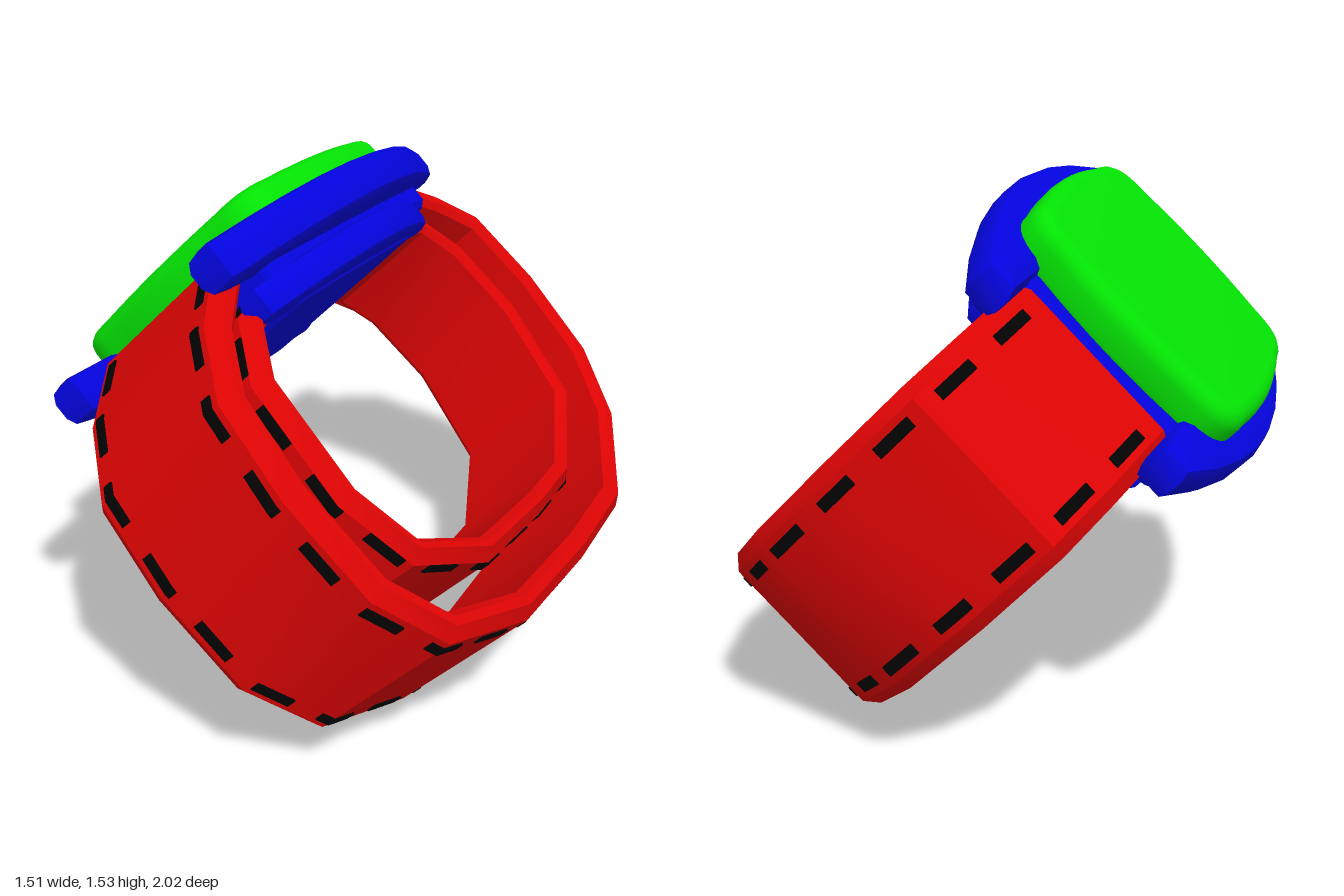
import * as THREE from 'three';
import { mergeGeometries, toCreasedNormals } from 'three/addons/utils/BufferGeometryUtils.js';

const mat = (name, color) => {
  const m = new THREE.MeshStandardMaterial({ color });
  m.name = name;
  return m;
};

// Sweep a bevelled rectangular section along a path of [z, y] points.
// lo and hi are the offsets of its inner and outer faces from the path,
// b and c the bevels of the inner and outer edges.
function sweep(path, xc, h, lo, hi, b, c) {
  const profile = [
    [-h + b, lo], [h - b, lo], [h, lo + b], [h, hi - c * 0.8],
    [h - c, hi], [-h + c, hi], [-h, hi - c * 0.8], [-h, lo + b]];
  const n = profile.length, pos = [], idx = [];
  const normal = (p, q) => {
    const dz = q[0] - p[0], dy = q[1] - p[1], l = Math.hypot(dz, dy);
    return [-dy / l, dz / l];
  };
  const last = path.length - 1;
  path.forEach((p, i) => {
    const n1 = normal(path[Math.max(i - 1, 0)], path[Math.max(i, 1)]);
    const n2 = normal(path[Math.min(i, last - 1)], path[Math.min(i + 1, last)]);
    const mz = n1[0] + n2[0], my = n1[1] + n2[1];
    const s = 2 / (mz * mz + my * my);
    for (const [x, d] of profile) pos.push(xc + x, p[1] + my * s * d, p[0] + mz * s * d);
    if (i < last) {
      for (let k = 0; k < n; k++) {
        const u = i * n + k, v = i * n + (k + 1) % n;
        idx.push(u, v, v + n, u, v + n, u + n);
      }
    }
  });
  const end = last * n;
  for (let k = 1; k < n - 1; k++) idx.push(0, k + 1, k, end, end + k, end + k + 1);
  const g = new THREE.BufferGeometry();
  g.setAttribute('position', new THREE.Float32BufferAttribute(pos, 3));
  g.setIndex(idx);
  return toCreasedNormals(g.toNonIndexed(), 0.6);
}

// Cut a path between two arc lengths, keeping the corners in between
function cut(path, s0, s1) {
  const out = [];
  let s = 0;
  for (let i = 0; i < path.length - 1; i++) {
    const a = path[i], c = path[i + 1];
    const l = Math.hypot(c[0] - a[0], c[1] - a[1]);
    const at = (t) => [a[0] + (c[0] - a[0]) * t, a[1] + (c[1] - a[1]) * t];
    if (s0 >= s && s0 < s + l) out.push(at((s0 - s) / l));
    if (s1 > s && s1 <= s + l) out.push(at((s1 - s) / l));
    else if (s + l > s0 + 0.004 && s + l < s1 - 0.004) out.push(c);
    s += l;
  }
  return out;
}

const pathLength = (path) => path.slice(1).reduce(
  (sum, p, i) => sum + Math.hypot(p[0] - path[i][0], p[1] - path[i][1]), 0);

// Extrude an outline drawn in x and z upwards from y0 to y1, with bevelled edges
function slab(shape, y0, y1, bevel, segments, crease) {
  const g = new THREE.ExtrudeGeometry(shape, {
    depth: y1 - y0 - 2 * bevel, bevelEnabled: true, bevelThickness: bevel,
    bevelSize: bevel, bevelOffset: -bevel, bevelSegments: segments, curveSegments: 8 });
  g.rotateX(-Math.PI / 2).translate(0, y0 + bevel, 0);
  return toCreasedNormals(g, crease);
}

// Rounded rectangle whose four sides bulge outwards
function barrel(w, d, r, bulge) {
  const s = new THREE.Shape();
  const x = w - bulge, z = d - bulge;
  s.moveTo(-x + r, -z);
  s.quadraticCurveTo(0, -z - 2 * bulge, x - r, -z);
  s.quadraticCurveTo(x, -z, x, -z + r);
  s.quadraticCurveTo(x + 2 * bulge, 0, x, z - r);
  s.quadraticCurveTo(x, z, x - r, z);
  s.quadraticCurveTo(0, z + 2 * bulge, -x + r, z);
  s.quadraticCurveTo(-x, z, -x, z - r);
  s.quadraticCurveTo(-x - 2 * bulge, 0, -x, -z + r);
  s.quadraticCurveTo(-x, -z, -x + r, -z);
  return s;
}

// Bowed side rail: straight inside, arched outside, tapering to the lugs
function rail(side, inner, tip, middle, length) {
  const s = new THREE.Shape();
  s.moveTo(side * inner, -length);
  s.lineTo(side * tip, -length);
  for (let i = 1; i <= 8; i++) {
    const t = i / 4 - 1;
    s.lineTo(side * (tip + (middle - tip) * (1 - t * t)), t * length);
  }
  s.lineTo(side * inner, length);
  s.closePath();
  return s;
}

export function createModel() {
  const red = mat('strap red', 0xde0404);
  const blue = mat('case blue', 0x0404de);
  const green = mat('screen green', 0x04e404);
  const black = mat('stitch black', 0x030303);

  const model = new THREE.Group();
  model.name = 'wristwatch';
  // The watch lies tipped on the edge of its strap, turned slightly
  const tilt = new THREE.Group();
  tilt.name = 'tilt';
  tilt.rotation.z = Math.PI / 4;
  const watch = new THREE.Group();
  watch.name = 'watch';
  watch.position.x = 0.54;
  watch.rotation.y = 0.08;
  model.add(tilt);
  tilt.add(watch);

  const add = (name, geometry, material, z = 0) => {
    const mesh = new THREE.Mesh(geometry, material);
    mesh.name = name;
    mesh.position.z = z;
    watch.add(mesh);
  };

  // Screen
  add('screen', slab(barrel(0.44, 0.475, 0.16, 0.025), 1.03, 1.19, 0.05, 4, 1.1), green);

  // Case body and back plate
  add('caseBody', slab(barrel(0.38, 0.54, 0.06, 0.01), 0.9, 1.07, 0.02, 1, 0.5), blue);
  add('backPlate', slab(barrel(0.36, 0.41, 0.06, 0.01), 0.84, 0.93, 0.02, 1, 0.5), blue, 0.05);

  // Upper rails with lugs, and the shorter lower rails
  for (const side of [-1, 1]) {
    const label = side > 0 ? 'left' : 'right';
    add(label + 'UpperRail',
      slab(rail(side, 0.27, 0.37, 0.53, 0.695), 0.97, 1.1, 0.04, 2, 0.5), blue, 0.01);
    add(label + 'LowerRail',
      slab(rail(side, 0.25, 0.325, side > 0 ? 0.46 : 0.335, 0.55), 0.845, 0.945, 0.03, 2, 0.5), blue, 0.045);
  }

  // Two nested strap loops, each running from the front lugs under to the back
  const straps = [
    { name: 'outerStrap', center: 0, half: 0.293, thickness: 0.08, seam: 0.215, path: [
      [0.55, 1.07], [0.78, 0.93], [0.945, 0.74], [0.99, 0.45], [0.965, 0.12], [0.81, -0.105],
      [0.45, -0.235], [-0.02, -0.264], [-0.42, -0.26], [-0.78, -0.07], [-0.95, 0.17],
      [-0.985, 0.5], [-0.935, 0.8], [-0.77, 0.94], [-0.55, 1.07]] },
    { name: 'innerStrap', center: 0.06, half: 0.222, thickness: 0.07, seam: 0.165, path: [
      [0.44, 0.96], [0.62, 0.9], [0.77, 0.73], [0.8, 0.35], [0.7, 0.1],
      [0.4, -0.05], [0, -0.078], [-0.27, -0.078], [-0.64, 0.1], [-0.74, 0.46],
      [-0.7, 0.74], [-0.59, 0.9], [-0.4, 0.96]] },
  ];
  for (const { name, center, half, thickness, seam, path } of straps) {
    add(name, sweep(path, center, half, -thickness, 0, 0.02, 0.04), red);

    // Dashed stitching along both edges
    const total = pathLength(path);
    const count = Math.round(total / 0.22), step = total / count;
    const dashes = [];
    for (let i = 0; i < count; i++) {
      const s0 = (i + 0.5) * step - 0.08;
      const piece = cut(path, s0, s0 + 0.125);
      for (const side of [-1, 1]) {
        dashes.push(sweep(piece, center + side * seam, 0.017, -0.003, 0.006, 0.002, 0.002));
      }
    }
    add(name + 'Stitching', mergeGeometries(dashes), black);
  }

  return model;
}
